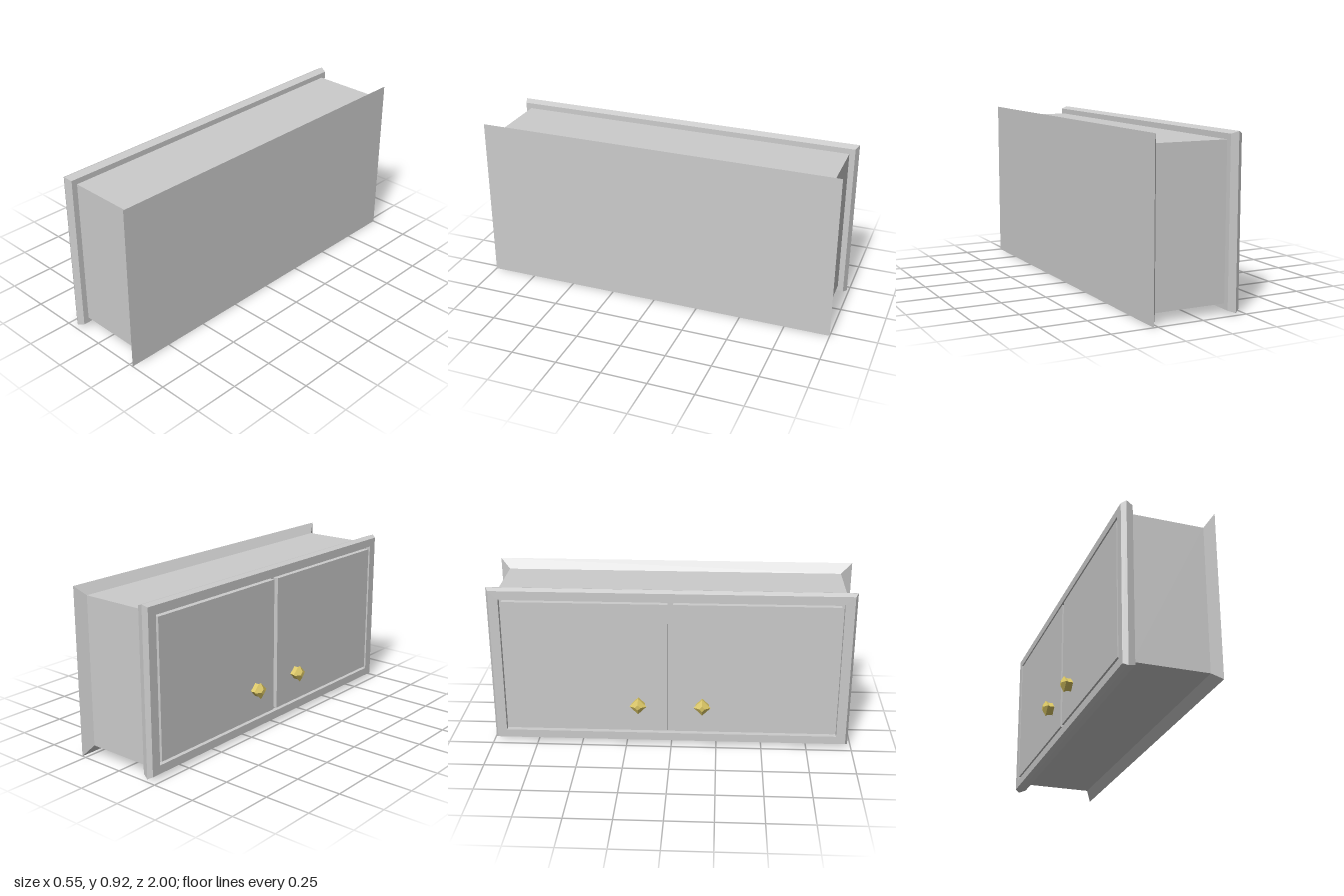
import * as THREE from 'three';

const MID_Y = 0.459;
const MID_Z = -0.005;
const FRONT_X = -0.218;

// Skins rectangular sections [x, halfY, halfZ, centreZ], listed from high x to low x.
function rectLoft(stations, capStart, capEnd) {
  const rings = stations.map(([x, hy, hz, cz = MID_Z]) =>
    [[-1, -1], [1, -1], [1, 1], [-1, 1]].map(([sy, sz]) => [x, MID_Y + sy * hy, cz + sz * hz]));
  const pos = [];
  const quad = (a, b, c, d) => pos.push(...a, ...b, ...c, ...a, ...c, ...d);
  for (let i = 0; i < rings.length - 1; i++) {
    const a = rings[i], b = rings[i + 1];
    for (let k = 0; k < 4; k++) {
      const n = (k + 1) % 4;
      quad(a[k], b[k], b[n], a[n]);
    }
  }
  if (capStart) quad(...rings[0]);
  if (capEnd) quad(...rings[rings.length - 1].slice().reverse());
  const geo = new THREE.BufferGeometry();
  geo.setAttribute('position', new THREE.Float32BufferAttribute(pos, 3));
  geo.computeVertexNormals();
  return geo;
}

export function createModel() {
  const model = new THREE.Group();
  model.name = 'cabinet';
  const grey = new THREE.MeshStandardMaterial({ color: 0xcccccc, flatShading: true });
  const brass = new THREE.MeshStandardMaterial({ color: 0xd8c463, flatShading: true });

  const add = (name, geo, mat) => {
    const mesh = new THREE.Mesh(geo, mat);
    mesh.name = name;
    model.add(mesh);
    return mesh;
  };

  // Case with the back flaring out to a larger rectangle
  add('case', rectLoft([
    [0.274, 0.4585, 1, 0],
    [0.238, 0.406, 0.941],
    [-0.155, 0.406, 0.941],
  ], true, false), grey);

  // Bevelled face frame with a shallow opening for the doors
  const openY = 0.39, openZ = 0.92;
  add('faceFrame', rectLoft([
    [-0.155, 0.406, 0.941],
    [-0.155, 0.4355, 0.972],
    [-0.193, 0.4485, 0.987],
    [FRONT_X, 0.4355, 0.972],
    [FRONT_X, openY, openZ],
    [-0.188, openY, openZ],
  ], false, true), grey);

  // Four-sided knob profile: neck, wide girdle, small flat end
  const knobProfile = [[0.037, 0], [0.037, 0.025], [0.047, 0.04], [0.016, 0.058], [0, 0.058]]
    .map(([r, h]) => new THREE.Vector2(r, h));
  const knobGeo = new THREE.LatheGeometry(knobProfile, 4);

  // Pair of doors, separated by narrow gaps, each with a knob
  const gap = 0.015;
  const doorWidth = openZ - 2 * gap;
  const doorGeo = new THREE.BoxGeometry(0.03, 2 * (openY - gap), doorWidth);
  for (const side of [-1, 1]) {
    const label = side < 0 ? 'back' : 'front';
    add(label + 'Door', doorGeo, grey)
      .position.set(FRONT_X + 0.015, MID_Y, MID_Z + side * (gap + doorWidth / 2));
    const knob = add(label + 'Knob', knobGeo, brass);
    knob.rotation.z = Math.PI / 2;
    knob.position.set(FRONT_X, 0.25, MID_Z + side * 0.176);
  }
  return model;
}
